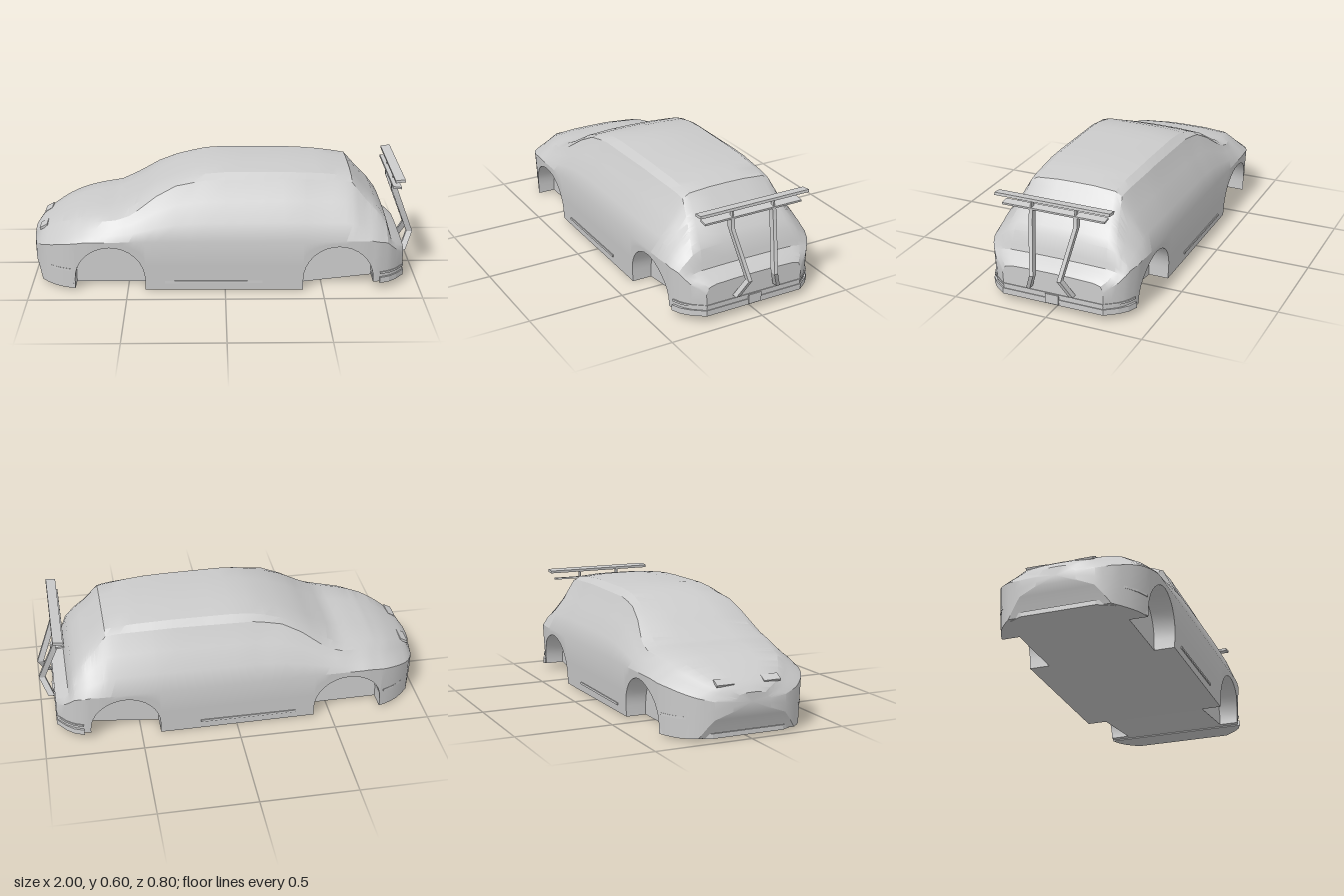
import * as THREE from 'three';
import { toCreasedNormals } from 'three/addons/utils/BufferGeometryUtils.js';

const mat = new THREE.MeshStandardMaterial({ color: 0xcccccc, side: THREE.DoubleSide });

// Body guide curves along x (nose at -x, tail at +x), as [x, value] pairs
const topY = [[-1, .225], [-.975, .255], [-.94, .28], [-.85, .33], [-.75, .365], [-.65, .383], [-.56, .39], [-.45, .45],
  [-.35, .51], [-.2, .567], [-.1, .59], [0, .6], [.35, .596], [.5, .587], [.65, .565], [.72, .485], [.78, .42],
  [.83, .35], [.85, .28], [.858, .25], [.9, .22], [.925, .2]];
const edgeY = [[-1, .2], [-.95, .25], [-.85, .295], [-.7, .345], [-.56, .365], [-.48, .39], [-.35, .48], [-.25, .53],
  [-.1, .555], [.35, .56], [.6, .545], [.65, .535], [.72, .45], [.78, .39], [.83, .325], [.858, .24], [.9, .205], [.925, .185]];
const edgeZ = [[-1, .08], [-.97, .16], [-.9, .23], [-.8, .29], [-.56, .335], [-.48, .33], [-.35, .295], [-.2, .27],
  [.4, .262], [.65, .245], [.72, .26], [.8, .285], [.858, .3], [.9, .28], [.925, .255]];
const wideY = [[-1, .185], [-.95, .21], [-.85, .245], [-.7, .27], [.75, .27], [.83, .25], [.9, .18], [.925, .15]];
const wideZ = [[-1, .1], [-.985, .19], [-.95, .265], [-.9, .32], [-.85, .355], [-.78, .385], [-.68, .4], [.7, .4],
  [.78, .39], [.84, .365], [.88, .33], [.91, .29], [.925, .27]];
const floorY = [[-1, .14], [-.97, .07], [-.95, .015], [-.9, .01], [.3, 0], [.4, 0], [.76, .04], [.925, .045]];

function at(curve, x) {
  for (let i = 1; i < curve.length; i++) {
    const [x0, v0] = curve[i - 1], [x1, v1] = curve[i];
    if (x <= x1) return v0 + (v1 - v0) * Math.max(0, (x - x0) / (x1 - x0));
  }
  return curve[curve.length - 1][1];
}

// Skin a list of closed rings and cap both ends
function loft(rings, crease) {
  const n = rings[0].length, pos = rings.flat(2), idx = [];
  rings.forEach((r, i) => {
    if (!i) return;
    for (let j = 0; j < n; j++) {
      const k = (j + 1) % n, a = (i - 1) * n, b = i * n;
      idx.push(a + j, a + k, b + j, a + k, b + k, b + j);
    }
  });
  [0, rings.length - 1].forEach((ri, end) => {
    const c = [0, 1, 2].map(d => rings[ri].reduce((s, p) => s + p[d], 0) / n);
    const ci = pos.length / 3;
    pos.push(...c);
    for (let j = 0; j < n; j++) {
      const p = ri * n + j, q = ri * n + (j + 1) % n;
      idx.push(ci, ...(end ? [p, q] : [q, p]));
    }
  });
  const g = new THREE.BufferGeometry();
  g.setAttribute('position', new THREE.Float32BufferAttribute(pos, 3));
  g.setIndex(idx);
  return toCreasedNormals(g, crease);
}

// One body cross-section; archY lifts the outer lower edge over a wheel
function section(x, archY) {
  const ty = at(topY, x), ey = at(edgeY, x), ez = at(edgeZ, x), wy = at(wideY, x), wz = at(wideZ, x);
  const fy = at(floorY, x), by = archY === undefined ? fy : archY, inner = Math.min(.28, wz * .85);
  const side = y => wz * (1 - .04 * (wy - y) / .27);
  const mid = (t, out) => [x, ey + (wy - ey) * t, ez + (wz - ez) * t + out * Math.min(1, (ey - wy) / .25)];
  const my = (wy + by) / 2;
  const half = [
    [x, ty, 0], [x, ty - (ty - ey) * .04, ez * .4], [x, ty - (ty - ey) * .32, ez * .85], [x, ey, ez],
    mid(.35, .002), mid(.68, .017), [x, wy, wz],
    [x, my, side(my)], [x, by, side(by)], [x, by, inner], [x, fy, inner], [x, fy, 0],
  ];
  return [...half, ...half.slice(1, -1).reverse().map(([a, b, c]) => [a, b, -c])];
}

// Sections through a wheel opening
function arch(cx) {
  const r = .18, xs = [cx + .07];
  for (let i = 0; i <= 16; i++) xs.push(cx - r * Math.cos(i * Math.PI / 16));
  return xs.sort((a, b) => a - b).map(x => section(x, .06 + Math.sqrt(Math.max(0, r * r - (x - cx) ** 2))));
}

// Flat plate following the body's plan outline between the given x positions
function plate(xs, y, thickness, grow, shift) {
  const pts = xs.map(x => new THREE.Vector2(x + shift, at(wideZ, x) * grow));
  const back = pts.map(p => new THREE.Vector2(p.x, -p.y)).reverse();
  const g = new THREE.ExtrudeGeometry(new THREE.Shape([...pts, ...back]), { depth: thickness, bevelEnabled: false });
  return g.rotateX(-Math.PI / 2).translate(0, y, 0);
}

export function createModel() {
  const model = new THREE.Group();
  const add = (name, geometry) => {
    const m = new THREE.Mesh(geometry, mat);
    m.name = name;
    model.add(m);
    return m;
  };
  const box = (name, w, h, d, x, y, z, tilt = 0) => {
    const m = add(name, new THREE.BoxGeometry(w, h, d));
    m.position.set(x, y, z);
    m.rotation.z = tilt;
  };

  // Body shell with wheel wells and floor
  const plain = xs => xs.map(x => section(x));
  add('body', loft([
    ...plain([-1, -.985, -.97, -.95, -.92, -.88, -.84, -.8, -.77]), ...arch(-.59),
    ...plain([-.41, -.35, -.25, -.17, -.1, 0, .1, .2, .3, .4]), ...arch(.58),
    ...plain([.76, .78, .805, .83, .85, .858, .88, .9, .912, .925]),
  ], .42));

  // Bumper ledges front and rear
  const frontXs = [-.985, -.95, -.9, -.85, -.79], rearXs = [.79, .84, .88, .91, .925];
  add('frontLip', plate(frontXs, .012, .024, .985, .02));
  add('frontBumperLedge', plate(frontXs, .105, .012, .99, .004));
  add('rearLip', plate(rearXs, .035, .03, 1, .004));
  add('rearBumperLedge', plate(rearXs, .083, .01, .99, .004));
  box('rearBumperNotch', .02, .05, .07, .925, .065, 0);

  // Wing: two blades on a pair of bent posts
  box('upperBlade', .05, .014, .604, .89, .557, 0, .12);
  box('lowerBlade', .045, .01, .54, .88, .512, 0, -.12);
  for (const s of [1, -1]) {
    const post = [[.943, .112, .115], [.983, .205, .073], [.888, .455, .118], [.882, .51, .116]];
    add('wingPost', loft(post.map(([x, y, z]) => [[-1, 1], [1, 1], [1, -1], [-1, -1]]
      .map(([a, b]) => [x + a * .016, y, s * z + b * .01])), .3));
    box('bladeStrut', .022, .05, .008, .886, .533, s * .116);

    // Sill strip and nose vents
    box('sillStrip', .5, .012, .012, -.06, .048, s * .386);
    box('noseVent', .045, .012, .09, -.945, .27, s * .125, .5);
  }
  return model;
}
